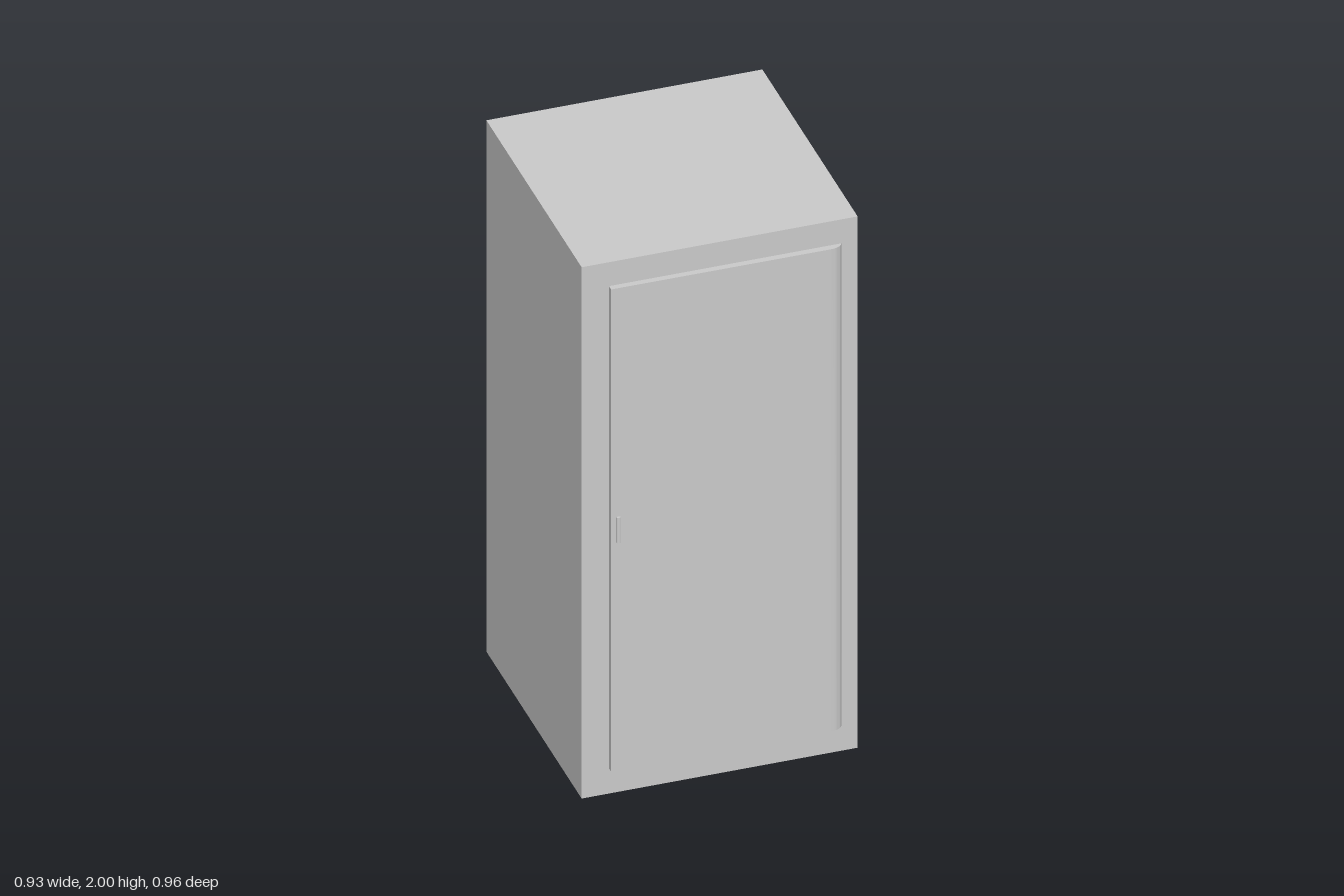
import * as THREE from 'three';
import { toCreasedNormals } from 'three/addons/utils/BufferGeometryUtils.js';

const material = new THREE.MeshStandardMaterial({ color: 0xcccccc });

function addPart(group, name, geometry) {
  const mesh = new THREE.Mesh(geometry, material);
  mesh.name = name;
  group.add(mesh);
  return mesh;
}

// Extrudes a plan outline (shape y = -z) upwards from y0 to y1.
function upright(shape, y0, y1) {
  const geometry = new THREE.ExtrudeGeometry(shape, {
    depth: y1 - y0, bevelEnabled: false, curveSegments: 10,
  });
  geometry.rotateX(-Math.PI / 2);
  geometry.translate(0, y0, 0);
  return toCreasedNormals(geometry, Math.PI / 6);
}

export function createModel() {
  const model = new THREE.Group();
  model.name = 'cabinet';

  // Plain cabinet body
  const body = addPart(model, 'body', new THREE.BoxGeometry(0.93, 2, 0.929));
  body.position.set(0, 1, -0.0145);

  // Thin door panel, very slightly thicker at the rounded hinge edge
  const door = new THREE.Shape();
  door.moveTo(-0.373, -0.45);
  door.lineTo(-0.373, -0.471);
  door.lineTo(0.365, -0.473);
  door.bezierCurveTo(0.39, -0.473, 0.405, -0.463, 0.41, -0.45);
  door.closePath();
  addPart(model, 'door', upright(door, 0.095, 1.91));

  // Small upright handle with rounded front corners
  const handle = new THREE.Shape();
  handle.moveTo(-0.356, -0.465);
  handle.lineTo(-0.356, -0.474);
  handle.quadraticCurveTo(-0.356, -0.479, -0.352, -0.479);
  handle.lineTo(-0.347, -0.479);
  handle.quadraticCurveTo(-0.343, -0.479, -0.343, -0.474);
  handle.lineTo(-0.343, -0.465);
  handle.closePath();
  addPart(model, 'handle', upright(handle, 0.955, 1.05));

  return model;
}
